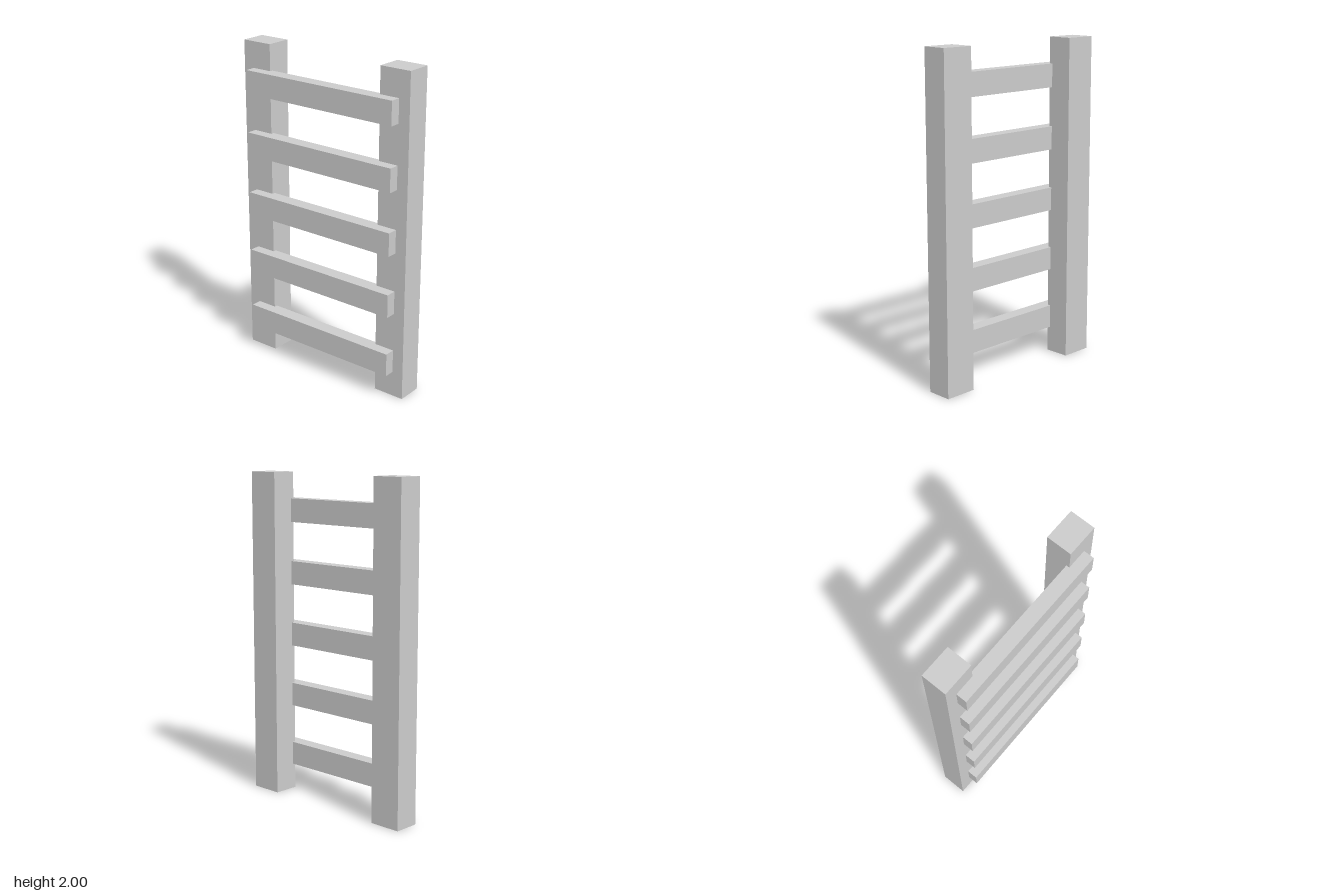
import * as THREE from 'three';

export function createModel() {
  const group = new THREE.Group();
  const material = new THREE.MeshStandardMaterial({ color: 0xcccccc });

  const addBeam = (name, size, position) => {
    const mesh = new THREE.Mesh(new THREE.BoxGeometry(...size), material);
    mesh.name = name;
    mesh.position.set(...position);
    group.add(mesh);
  };

  // Two upright posts
  for (const [name, side] of [['leftPost', 1], ['rightPost', -1]]) {
    addBeam(name, [0.2, 2, 0.157], [side * 0.5, 1, -0.0335]);
  }

  // Five evenly spaced rungs, let slightly into the front of the posts
  for (let i = 0; i < 5; i++) {
    addBeam(`rung${i + 1}`, [1.056, 0.144, 0.086], [0, 0.231 + i * 0.384, 0.068]);
  }

  return group;
}
